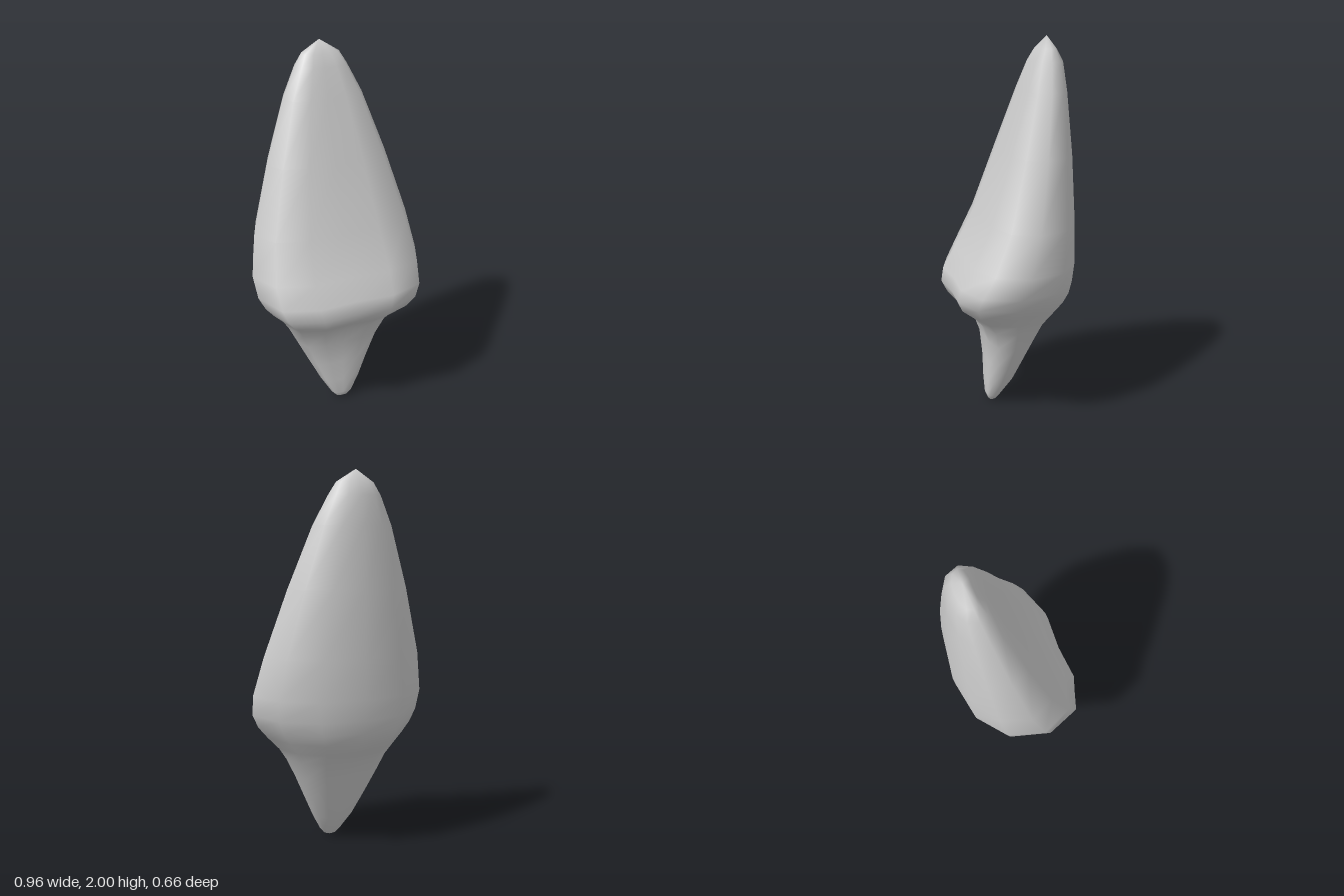
import * as THREE from 'three';

// Levels from bottom to top: [height, half width, front z, back z]
const LEVELS = [
  [0.012, 0.035, 0.118, 0.072], [0.04, 0.06, 0.128, 0.05], [0.13, 0.115, 0.13, -0.015],
  [0.25, 0.175, 0.127, -0.07], [0.38, 0.238, 0.135, -0.13], [0.48, 0.287, 0.17, -0.18],
  [0.54, 0.325, 0.225, -0.24], [0.6, 0.38, 0.3, -0.287], [0.66, 0.43, 0.33, -0.312],
  [0.73, 0.465, 0.315, -0.322], [0.84, 0.478, 0.25, -0.33], [1.05, 0.44, 0.145, -0.327],
  [1.4, 0.335, 0.027, -0.319], [1.72, 0.22, -0.078, -0.3], [1.87, 0.145, -0.128, -0.285],
  [1.935, 0.105, -0.165, -0.252],
];

// Half of the cross-section from back to front: [share of half width, share of depth]
const SECTION = [[0, 0], [0.5, 0.06], [0.866, 0.275], [1, 0.61], [0.847, 0.9], [0.445, 1], [0, 0.98]];

function createBodyGeometry() {
  // Mirror the half section into a closed loop: back, +x side, front, -x side
  const loop = [...SECTION, ...SECTION.slice(1, -1).reverse().map(([x, t]) => [-x, t])];
  const n = loop.length;
  const positions = [];
  const index = [];

  for (const [y, w, front, back] of LEVELS) {
    for (const [x, t] of loop) positions.push(x * w, y, back + t * (front - back));
  }
  const bottom = LEVELS.length * n;
  const top = bottom + 1;
  positions.push(0, 0, 0.098, 0, 2, -0.21);

  // Skin between neighbouring levels, and fans to the two tips
  const last = (LEVELS.length - 1) * n;
  for (let j = 0; j < n; j++) {
    const k = (j + 1) % n;
    for (let a = 0; a < last; a += n) {
      index.push(a + j, a + n + j, a + k, a + k, a + n + j, a + n + k);
    }
    index.push(bottom, j, k, top, last + k, last + j);
  }

  const geometry = new THREE.BufferGeometry();
  geometry.setAttribute('position', new THREE.Float32BufferAttribute(positions, 3));
  geometry.setIndex(index);
  geometry.computeVertexNormals();
  return geometry;
}

export function createModel() {
  const group = new THREE.Group();
  group.name = 'taperedSpike';
  const body = new THREE.Mesh(createBodyGeometry(), new THREE.MeshStandardMaterial({ color: 0xcccccc }));
  body.name = 'bladeAndStem';
  group.add(body);
  return group;
}
